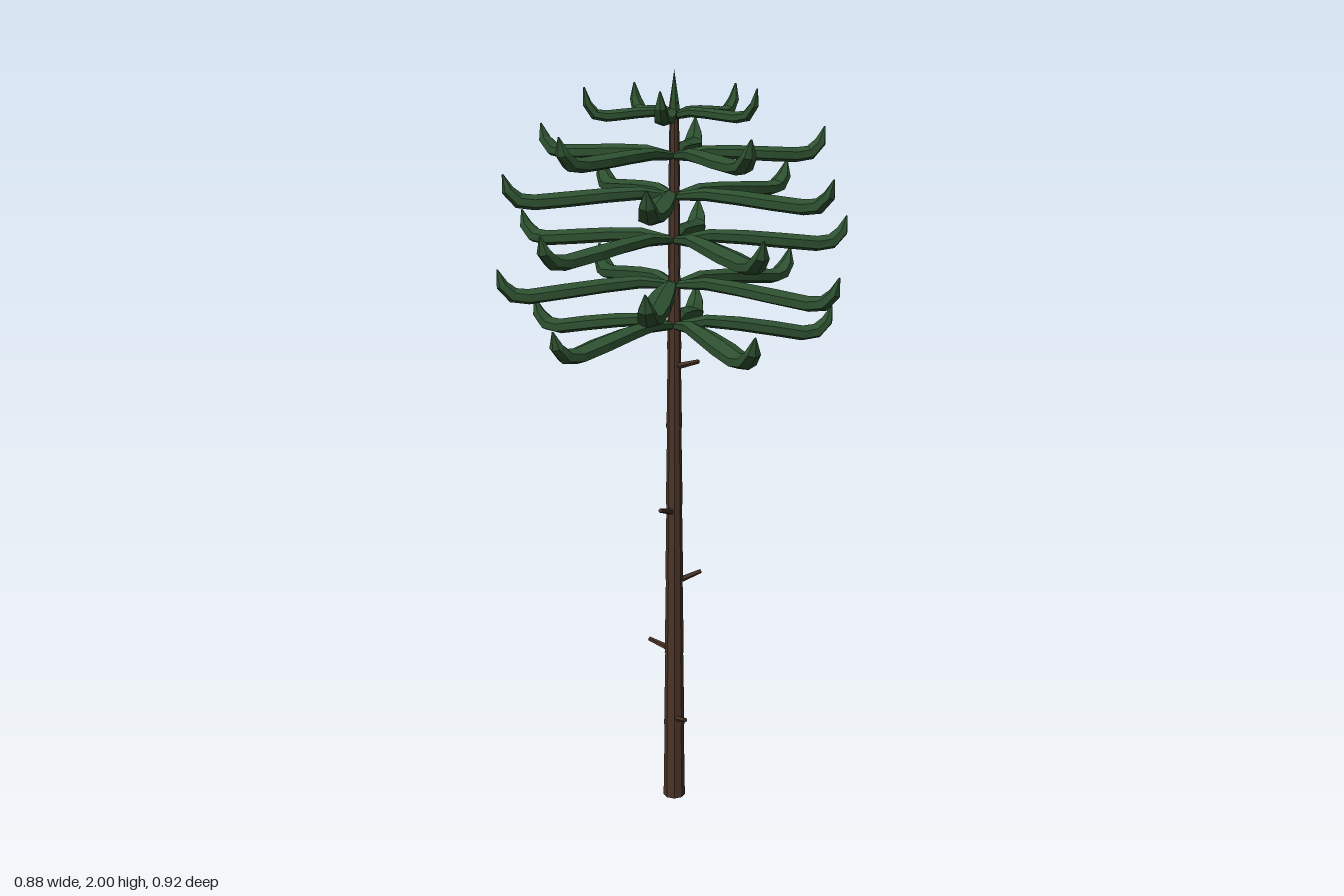
import * as THREE from 'three';

const mat = (name, color) => {
  const m = new THREE.MeshStandardMaterial({ color, flatShading: true });
  m.name = name;
  return m;
};

// Low-poly bough along +x: six-sided sections swept along a drooping path that hooks up at the tip
function boughGeometry(R, rootY, lowY, s) {
  const mix = (t) => rootY + (lowY + 0.02 - rootY) * t;
  // radius, height, half width, half thickness
  const st = [
    [0, rootY, 0.008, 0.010],
    [0.2 * R, mix(0) + 0.01, 0.018 * s, 0.017 * s],
    [0.4 * R, mix(0.25) + 0.008, 0.028 * s, 0.019 * s],
    [0.62 * R, mix(0.6) + 0.003, 0.034 * s, 0.02 * s],
    [R - 0.085 * s, lowY + 0.02, 0.03 * s, 0.02 * s],
    [R - 0.045 * s, lowY + 0.025, 0.025 * s, 0.02 * s],
    [R - 0.017 * s, lowY + 0.052, 0.019 * s, 0.016 * s],
    [R - 0.005, lowY + 0.092, 0.002, 0.002],
  ];
  const sides = 6, pos = [], idx = [];
  st.forEach(([r, y, hw, hh], i) => {
    const a = st[Math.max(i - 1, 0)], b = st[Math.min(i + 1, st.length - 1)];
    const len = Math.hypot(b[0] - a[0], b[1] - a[1]);
    const tx = (b[0] - a[0]) / len, ty = (b[1] - a[1]) / len;
    for (let k = 0; k < sides; k++) {
      const q = (k / sides) * Math.PI * 2;
      const up = Math.cos(q) * hh;
      pos.push(r - ty * up, y + tx * up, (Math.sin(q) * hw) / 0.866);
    }
  });
  for (let i = 0; i < st.length - 1; i++) {
    for (let k = 0; k < sides; k++) {
      const a = i * sides + k, b = i * sides + ((k + 1) % sides);
      idx.push(a, b, a + sides, b, b + sides, a + sides);
    }
  }
  const last = (st.length - 1) * sides;
  for (let k = 1; k < sides - 1; k++) {
    idx.push(0, k + 1, k);
    idx.push(last, last + k, last + k + 1);
  }
  const g = new THREE.BufferGeometry();
  g.setAttribute('position', new THREE.Float32BufferAttribute(pos, 3));
  g.setIndex(idx);
  const flat = g.toNonIndexed();
  flat.computeVertexNormals();
  return flat;
}

export function createModel() {
  const tree = new THREE.Group();
  tree.name = 'pineTree';
  const bark = mat('bark', 0x4a3326);
  const needles = mat('needles', 0x2d5030);

  // Trunk: stacked tapering sections, each a little wider at its foot
  const trunk = new THREE.Group();
  trunk.name = 'trunk';
  const count = 9, h = 1.92 / count;
  const radius = (y) => 0.029 - 0.0088 * y;
  for (let i = 0; i < count; i++) {
    const y = i * h;
    const g = new THREE.CylinderGeometry(radius(y + h) - 0.0005, radius(y) + 0.001, h, 8);
    const m = new THREE.Mesh(g, bark);
    m.name = 'trunkSection';
    m.position.y = y + h / 2;
    trunk.add(m);
  }
  tree.add(trunk);

  // Broken twig stubs spiralling up the bare trunk
  for (let i = 0; i < 6; i++) {
    const a = ((22 + i * 137.5) * Math.PI) / 180;
    const holder = new THREE.Group();
    holder.name = 'twigStub';
    const m = new THREE.Mesh(new THREE.CylinderGeometry(0.006, 0.009, 0.07, 5), bark);
    m.name = 'stub';
    m.rotation.z = -Math.PI / 2 + 0.3;
    m.position.set(0.043, 0, 0);
    holder.add(m);
    holder.position.y = 0.245 + i * 0.2;
    holder.rotation.y = -a;
    tree.add(holder);
  }

  // Whorls of five boughs, alternately pointing to the front and back
  const whorls = [
    // reach, root height, lowest height, thickness scale
    [0.43, 1.342, 1.292, 1],
    [0.465, 1.45, 1.41, 1],
    [0.465, 1.567, 1.53, 1],
    [0.445, 1.68, 1.652, 1],
    [0.4, 1.783, 1.762, 0.95],
    [0.235, 1.885, 1.866, 0.72],
  ];
  whorls.forEach(([R, rootY, lowY, s], i) => {
    const whorl = new THREE.Group();
    whorl.name = 'whorl';
    const g = boughGeometry(R, rootY, lowY, s);
    const start = i % 2 === 0 ? -Math.PI / 2 : Math.PI / 2;
    for (let k = 0; k < 5; k++) {
      const m = new THREE.Mesh(g, needles);
      m.name = 'bough';
      m.rotation.y = start + (k * Math.PI * 2) / 5;
      whorl.add(m);
    }
    tree.add(whorl);
  });

  // Pointed leader at the very top
  const leader = new THREE.Mesh(new THREE.ConeGeometry(0.018, 0.12, 6), needles);
  leader.name = 'leader';
  leader.position.y = 1.94;
  tree.add(leader);

  return tree;
}
